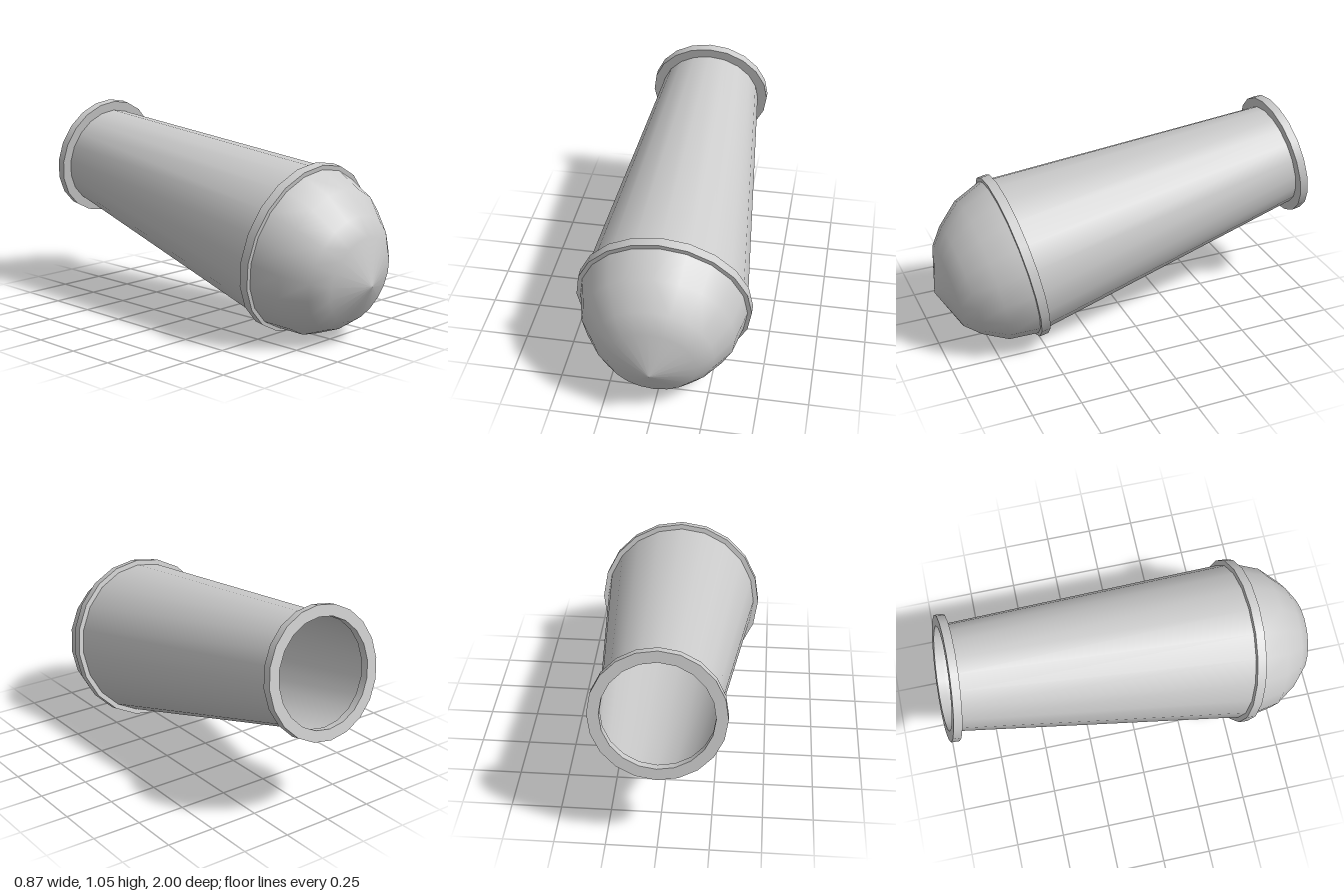
import * as THREE from 'three';
import { mergeGeometries } from 'three/addons/utils/BufferGeometryUtils.js';

const SIDES = 20;
const TILT = Math.atan(0.2);
const MUZZLE = -1.526; // distance of the muzzle ring along the barrel axis

const material = new THREE.MeshStandardMaterial({ color: 0xcccccc, side: THREE.DoubleSide });

function lathe(points) {
  return new THREE.LatheGeometry(points.map(([r, y]) => new THREE.Vector2(r, y)), SIDES);
}

// Rectangular-section hoop: one lathe per face keeps the rims sharp
function hoop(inner, outer, y, thickness) {
  const lo = y - thickness / 2, hi = y + thickness / 2;
  const corners = [[inner, lo], [outer, lo], [outer, hi], [inner, hi]];
  return mergeGeometries(corners.map((c, i) => lathe([c, corners[(i + 1) % 4]])));
}

export function createModel() {
  const model = new THREE.Group();
  model.name = 'cannonBarrel';

  // Built upright with the breech end at +y, then laid down with the muzzle raised
  const barrel = new THREE.Group();
  barrel.name = 'barrelAssembly';
  barrel.rotation.x = Math.PI / 2 + TILT;
  barrel.position.set(0, 0.433, 0.582);
  model.add(barrel);

  const add = (name, geometry) => {
    const mesh = new THREE.Mesh(geometry, material);
    mesh.name = name;
    barrel.add(mesh);
  };

  // Open tapered tube, its inside forming the bore
  add('tube', lathe([[0.268, MUZZLE - 0.021], [0.412, 0]]));

  // Reinforcing hoops
  add('muzzleRing', hoop(0.267, 0.323, MUZZLE, 0.043));
  add('breechRing', hoop(0.405, 0.436, 0, 0.047));

  // Rounded breech, leaning slightly downwards towards its tip
  const dome = lathe([[0.415, 0], [0.415, 0.025], [0.378, 0.171], [0.294, 0.289], [0.218, 0.358], [0, 0.434]]);
  const lean = new THREE.Matrix4().set(
    1, 0, 0, 0,
    0, 1, 0, 0,
    0, 0.088, 1, 0,
    0, 0, 0, 1
  );
  dome.applyMatrix4(lean);
  add('breechDome', dome);

  return model;
}
